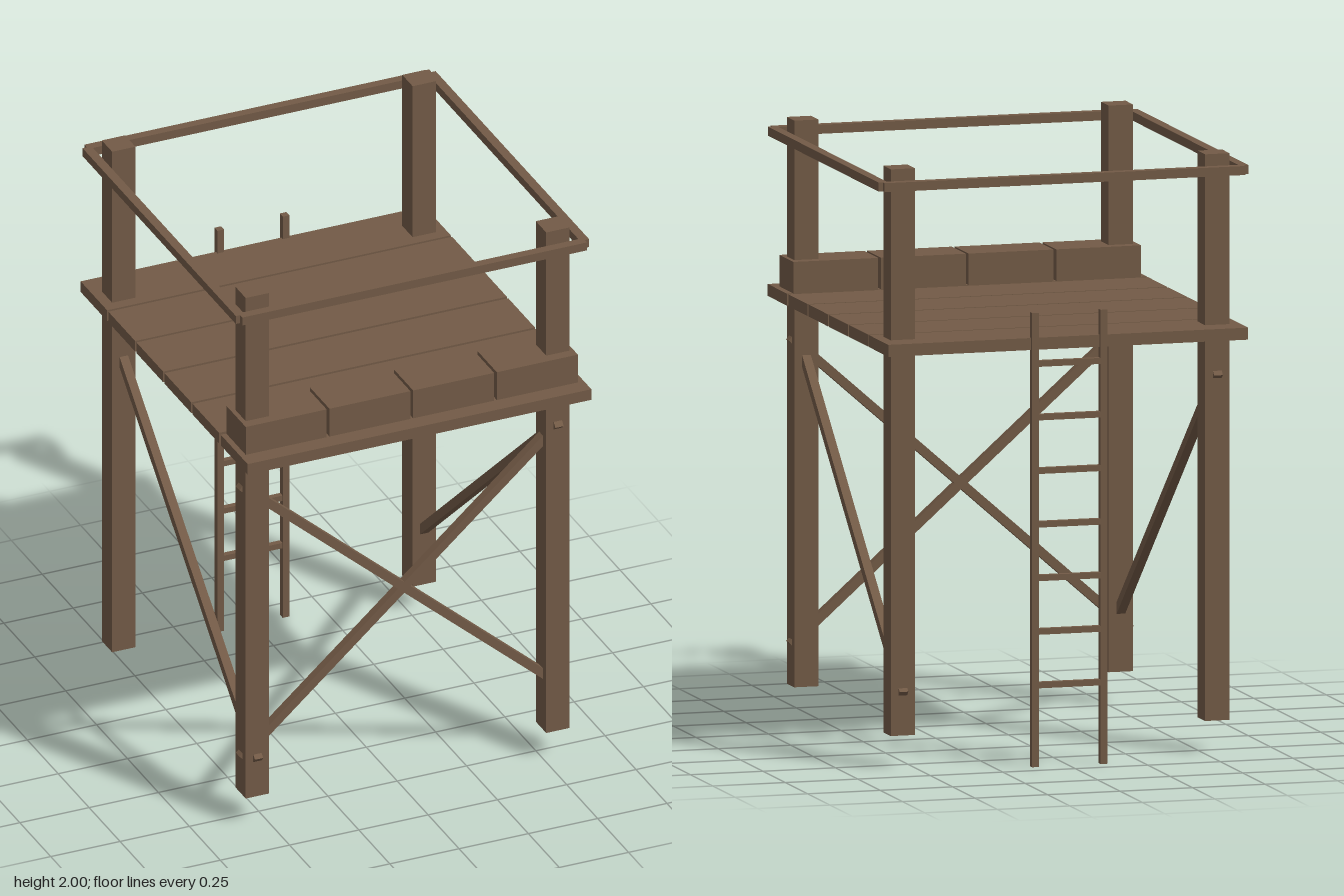
import * as THREE from 'three';

export function createModel() {
  const model = new THREE.Group();
  model.name = 'watchtower';
  const wood = new THREE.MeshStandardMaterial({ color: 0x725a46 });
  wood.name = 'brown wood';

  // Box given by its lower and upper limits on each axis
  function box(name, [x0, x1], [y0, y1], [z0, z1], parent = model) {
    const mesh = new THREE.Mesh(new THREE.BoxGeometry(x1 - x0, y1 - y0, z1 - z0), wood);
    mesh.position.set((x0 + x1) / 2, (y0 + y1) / 2, (z0 + z1) / 2);
    mesh.name = name;
    parent.add(mesh);
    return mesh;
  }

  // Square beam running between two points
  function beam(name, a, b, size) {
    const from = new THREE.Vector3(...a), to = new THREE.Vector3(...b);
    const mesh = new THREE.Mesh(new THREE.BoxGeometry(size, size, from.distanceTo(to)), wood);
    mesh.position.copy(from).add(to).multiplyScalar(0.5);
    mesh.lookAt(to);
    mesh.name = name;
    model.add(mesh);
  }

  // Corner posts
  for (const x of [-0.542, 0.542])
    for (const z of [-0.538, 0.542])
      box('cornerPost', [x - 0.042, x + 0.042], [0.11, 2], [z - 0.042, z + 0.042]);

  // Deck planks
  const planks = [[-0.67, -0.456], [-0.446, -0.229], [-0.219, -0.003],
    [0.008, 0.224], [0.235, 0.449], [0.463, 0.68]];
  for (const z of planks) box('deckPlank', [-0.62, 0.62], [1.39, 1.43], z);

  // Row of parapet blocks along the front edge
  for (let i = 0; i < 4; i++) {
    const x = -0.6 + i * 0.302;
    box('parapetBlock', [x, x + 0.292], [1.43, 1.535], [0.463, 0.62]);
  }

  // Hand rails
  const railY = [1.934, 1.964];
  box('frontRail', [-0.622, 0.622], railY, [0.609, 0.641]);
  box('backRail', [-0.622, 0.622], railY, [-0.636, -0.604]);
  for (const s of [-1, 1]) {
    const c = s * 0.621;
    box('sideRail', [c - 0.016, c + 0.016], railY, [-0.617, 0.623]);
  }

  // Diagonal braces: a cross at the front, one on each side
  const low = 0.246, high = 1.274, end = 0.585;
  for (const s of [-1, 1]) {
    beam('frontBrace', [s * end, low, 0.542], [-s * end, high, 0.542], 0.03);
    beam('sideBrace', [s * 0.542, s > 0 ? high : low, end + 0.003],
      [s * 0.542, s > 0 ? low : high, -end + 0.003], 0.03);
  }

  // Ladder at the back
  const ladder = new THREE.Group();
  ladder.name = 'ladder';
  model.add(ladder);
  for (const x of [-0.12, 0.116])
    box('ladderStile', [x - 0.012, x + 0.012], [0, 1.515], [-0.682, -0.658], ladder);
  for (let i = 0; i < 7; i++) {
    const y = 0.272 + i * 0.1787;
    box('ladderRung', [-0.12, 0.116], [y - 0.01, y + 0.01], [-0.68, -0.66], ladder);
  }

  return model;
}
